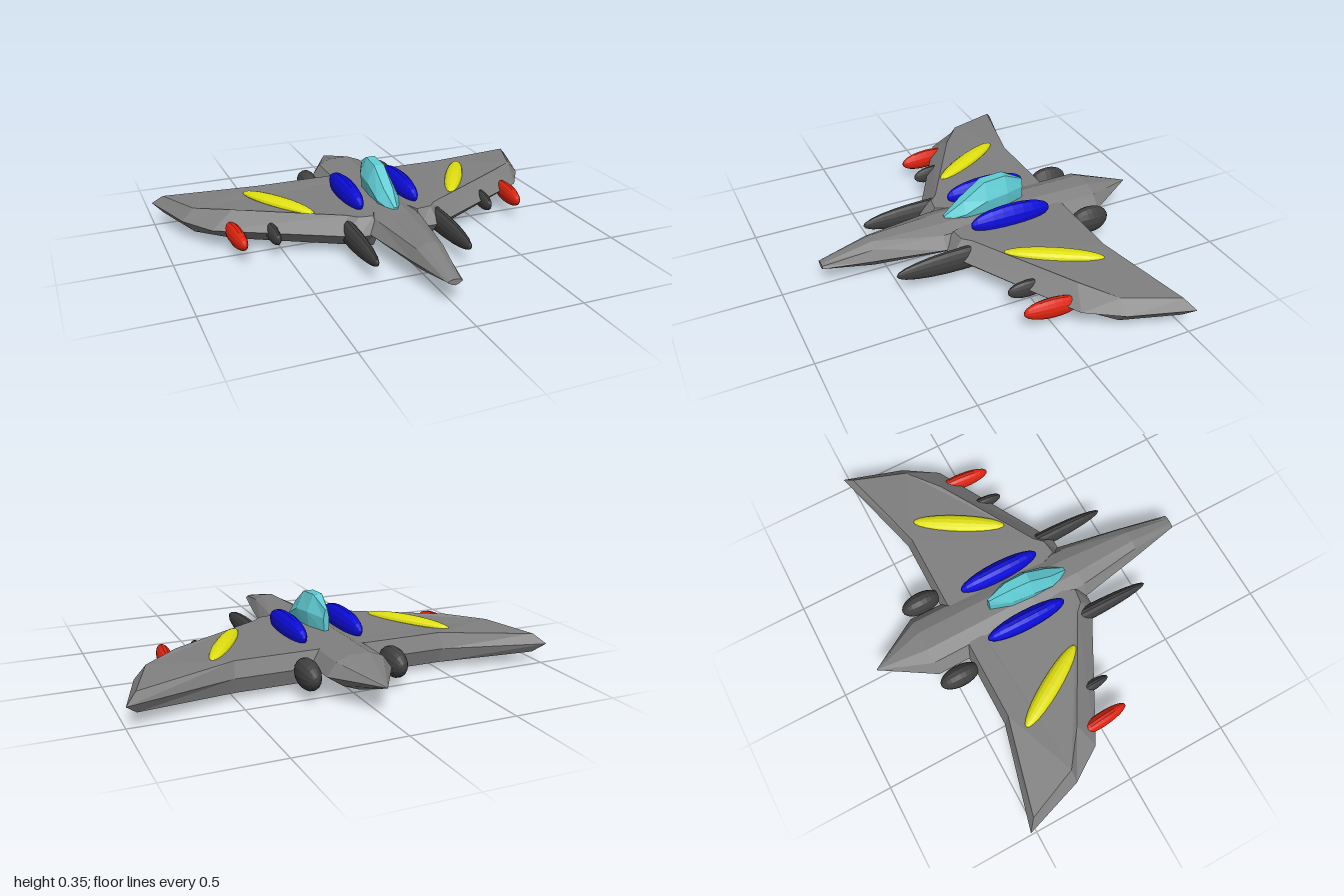
import * as THREE from 'three';

const mat = (name, color) => {
  const m = new THREE.MeshStandardMaterial({ color });
  m.name = name;
  return m;
};

// Faceted skin through closed rings ([x, y, z], counter-clockwise, from high z to low z), capped at both ends
function loft(rings) {
  const pos = [];
  const tri = (...p) => p.forEach(v => pos.push(...v));
  for (let i = 0; i < rings.length - 1; i++) {
    const r = rings[i], s = rings[i + 1], n = r.length;
    for (let j = 0; j < n; j++) {
      const k = (j + 1) % n;
      tri(r[j], s[j], r[k]);
      tri(r[k], s[j], s[k]);
    }
  }
  const cap = (ring, flip) => {
    const flat = ring.map(p => new THREE.Vector2(p[0], p[1]));
    for (const [a, b, c] of THREE.ShapeUtils.triangulateShape(flat, [])) {
      if (flip) tri(ring[a], ring[c], ring[b]);
      else tri(ring[a], ring[b], ring[c]);
    }
  };
  cap(rings[0], false);
  cap(rings[rings.length - 1], true);
  const g = new THREE.BufferGeometry();
  g.setAttribute('position', new THREE.Float32BufferAttribute(pos, 3));
  g.computeVertexNormals();
  return g;
}

// Faceted ellipsoid with its poles along z
function pod(rx, ry, rz) {
  const g = new THREE.SphereGeometry(1, 14, 12).rotateX(Math.PI / 2).scale(rx, ry, rz).toNonIndexed();
  g.computeVertexNormals();
  return g;
}

export function createModel() {
  const model = new THREE.Group();
  const hull = mat('hullGrey', 0x808080);
  const dark = mat('darkGrey', 0x404040);
  const red = mat('red', 0xdd2410);
  const yellow = mat('yellow', 0xe0e010);
  const blue = mat('blue', 0x0c0cd8);
  const glass = mat('canopyCyan', 0x60ccd4);

  const add = (name, geometry, material) => {
    const m = new THREE.Mesh(geometry, material);
    m.name = name;
    model.add(m);
    return m;
  };

  // Fuselage: [z, half width, bottom, middle, top] on one angular section
  const section = [[1, 0], [0.72, 0.7], [0.3, 1], [-0.3, 1], [-0.72, 0.7], [-1, 0], [-0.5, -0.65], [0, -1], [0.5, -0.65]];
  const stations = [
    [0.81, 0.035, 0.09, 0.107, 0.118],
    [0.57, 0.085, 0.035, 0.107, 0.18],
    [0.25, 0.145, 0.018, 0.107, 0.19],
    [0, 0.15, 0, 0.107, 0.2],
    [-0.56, 0.155, 0.035, 0.115, 0.2],
    [-0.81, 0.002, 0.129, 0.131, 0.133],
  ];
  add('fuselage', loft(stations.map(([z, w, bot, mid, top]) =>
    section.map(([u, v]) => [u * w, mid + v * (v > 0 ? top - mid : mid - bot), z]))), hull);

  // Wings: bevelled plate; [edge x, edge z, inner x, inner z, half thickness]
  const half = [
    [0.07, 0.1, 0.07, 0.1, 0.073],
    [0.11, 0.25, 0.11, 0.2, 0.073],
    [0.2, 0.25, 0.18, 0.19, 0.073],
    [0.25, 0.22, 0.22, 0.15, 0.073],
    [0.8, -0.08, 0.69, -0.12, 0.073],
    [0.905, -0.24, 0.85, -0.24, 0.06],
    [1, -0.53, 0.95, -0.49, 0.045],
    [0.51, -0.4, 0.5, -0.375, 0.073],
    [0.11, -0.4, 0.11, -0.375, 0.073],
    [0.06, -0.3, 0.06, -0.3, 0.073],
  ];
  const outline = [...half, ...half.map(([x, z, ix, iz, t]) => [-x, z, -ix, iz, t]).reverse()];
  const wingRings = [1, 0, -1].map(s => outline.map(([x, z, ix, iz, t]) =>
    s ? [ix, -iz, 0.104 + s * t] : [x, -z, 0.104]));
  add('wings', loft(wingRings).rotateX(-Math.PI / 2), hull);

  // Canopy: [z, half width, bottom, shoulder, top]
  const canopy = [
    [0.2, 0.018, 0.17, 0.18, 0.2],
    [0.11, 0.056, 0.17, 0.21, 0.264],
    [0, 0.062, 0.17, 0.26, 0.342],
    [-0.11, 0.054, 0.17, 0.27, 0.35],
    [-0.21, 0.014, 0.19, 0.26, 0.3],
  ].map(([z, w, b, s, t]) => [
    [w * 0.8, b, z], [w, s, z], [w * 0.4, t, z], [-w * 0.4, t, z], [-w, s, z], [-w * 0.8, b, z],
  ]);
  add('canopy', loft(canopy), glass);

  // Paired pods: name, material, centre, radii, turn about y
  const pods = [
    ['frontCannon', dark, [0.223, 0.1, 0.2], [0.034, 0.06, 0.33], 0],
    ['rearEngine', dark, [0.207, 0.108, -0.478], [0.05, 0.07, 0.1], 0],
    ['smallGun', dark, [0.545, 0.097, 0.04], [0.025, 0.045, 0.095], -0.05],
    ['wingMissile', red, [0.708, 0.097, 0.005], [0.034, 0.05, 0.135], -0.08],
    ['dorsalPod', blue, [0.139, 0.2, -0.083], [0.045, 0.067, 0.205], 0],
    ['wingBlister', yellow, [0.468, 0.172, -0.133], [0.044, 0.03, 0.226], -0.54],
  ];
  for (const [name, material, [x, y, z], r, turn] of pods) {
    const geometry = pod(...r);
    for (const [side, s] of [['left', 1], ['right', -1]]) {
      const m = add(`${side} ${name}`, geometry, material);
      m.position.set(s * x, y, z);
      m.rotation.y = s * turn;
    }
  }
  return model;
}
